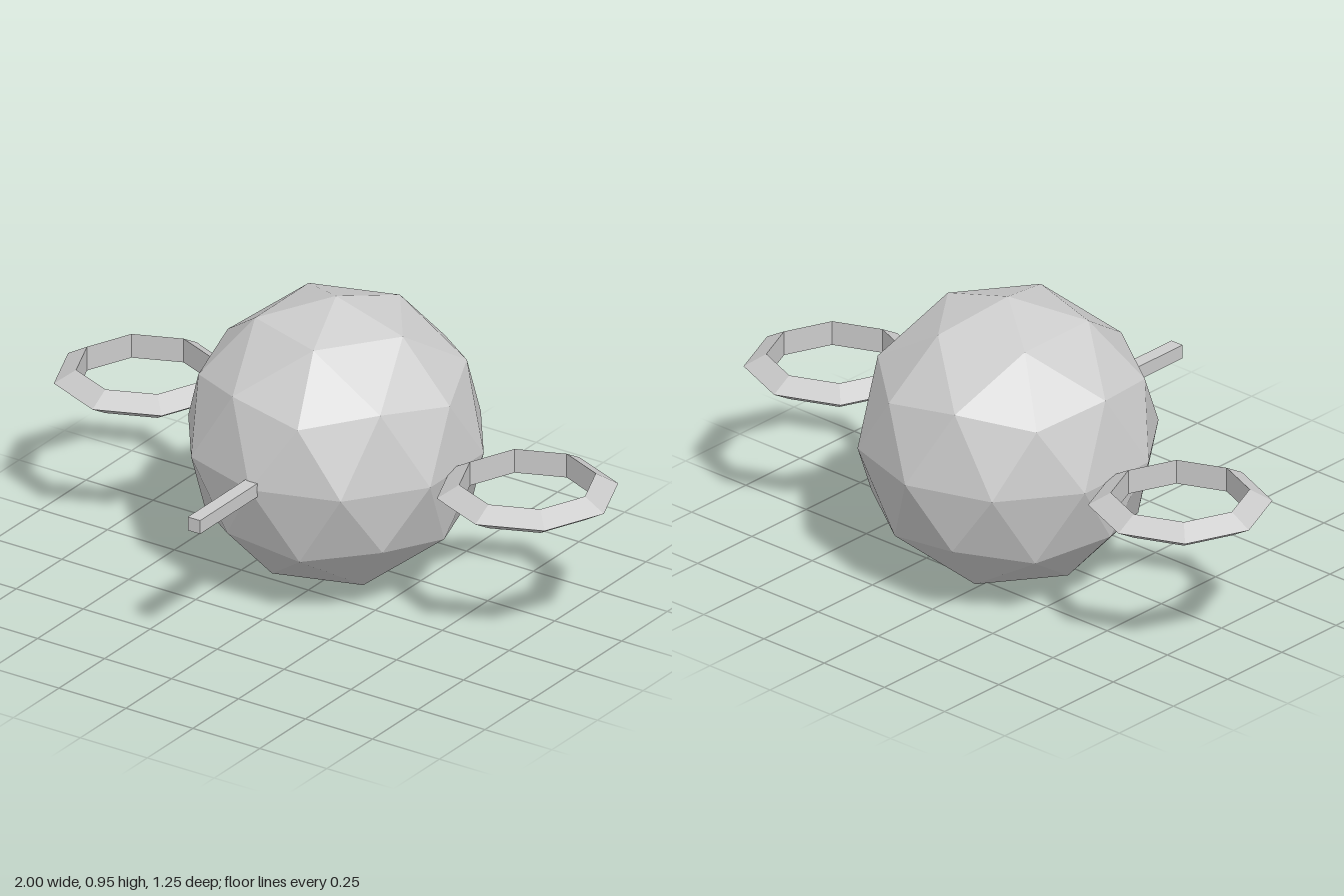
import * as THREE from 'three';

export function createModel() {
  const model = new THREE.Group();
  const material = new THREE.MeshStandardMaterial({ color: 0xcccccc, flatShading: true });
  const R = 0.475, midY = 0.476, midZ = -0.152;

  const add = (name, geometry, x, y, z) => {
    const mesh = new THREE.Mesh(geometry, material);
    mesh.name = name;
    mesh.position.set(x, y, z);
    model.add(mesh);
  };

  // Faceted ball, turned so that a corner points straight up
  const ball = new THREE.IcosahedronGeometry(R, 1);
  ball.rotateZ(-Math.atan(2 / (1 + Math.sqrt(5))));
  add('body', ball, 0, midY, midZ);

  // Flat eight-sided rings with a triangular section, sharp edge outward
  for (const [name, side] of [['leftRing', 1], ['rightRing', -1]]) {
    const ring = new THREE.TorusGeometry(0.238, 0.047, 3, 8);
    ring.rotateX(Math.PI / 2);
    add(name, ring, side * 0.715, midY + 0.002, midZ);
  }

  // Square rod pointing forward
  const back = 0.2, front = 0.627;
  add('frontRod', new THREE.BoxGeometry(0.046, 0.046, front - back), 0, midY + 0.002, (back + front) / 2);

  return model;
}
